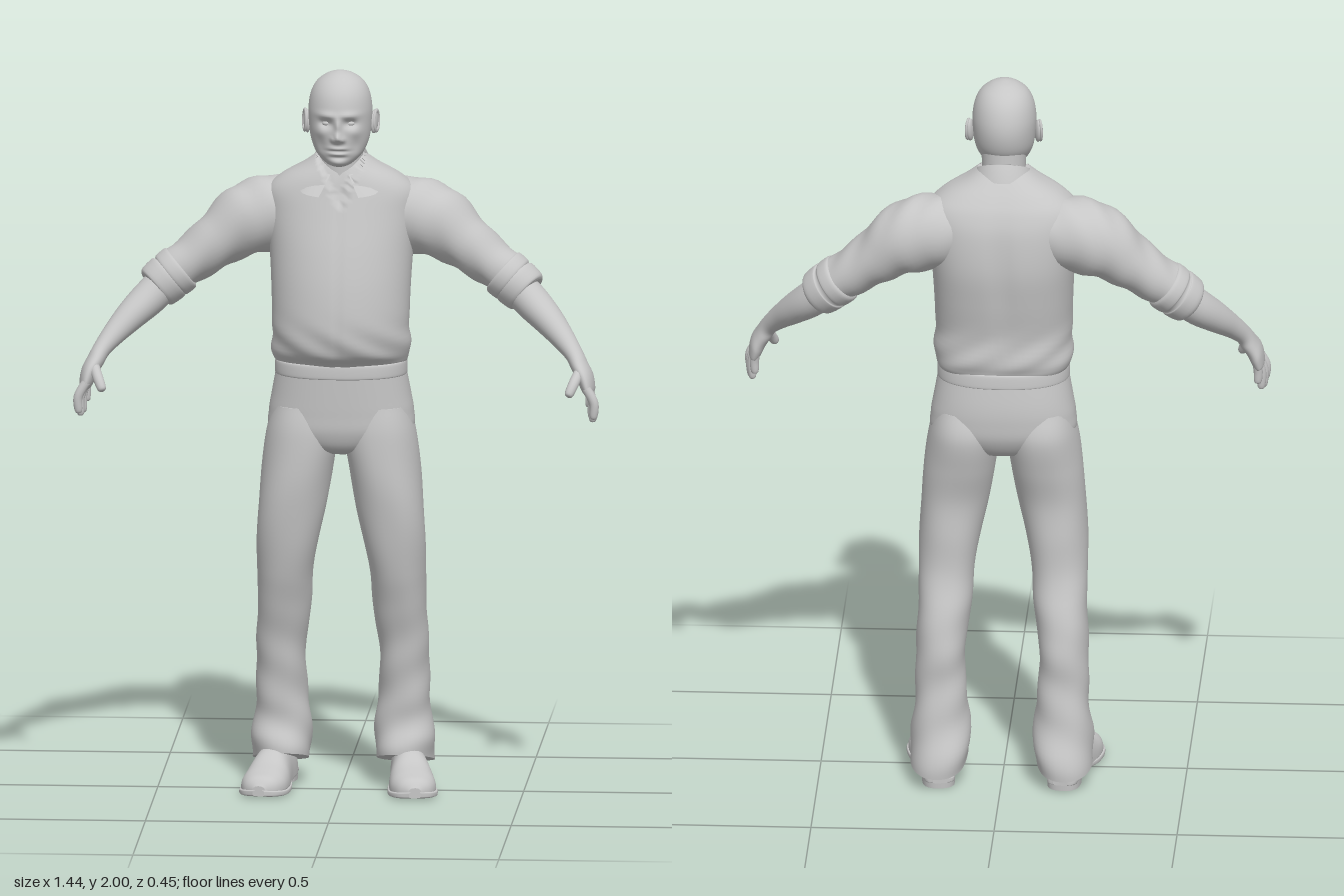
import * as THREE from 'three';

const V = (x, y, z) => new THREE.Vector3(x, y, z);
const X = V(1, 0, 0), Y = V(0, 1, 0), Z = V(0, 0, 1);
const grey = new THREE.MeshStandardMaterial({ color: 0xc6c6c6, side: THREE.DoubleSide });
grey.name = 'plain grey';

// Smooth interpolation between the key rows of a loft
function refine(rows, steps) {
  const out = [], at = i => rows[Math.min(Math.max(i, 0), rows.length - 1)];
  for (let i = 0; i < rows.length - 1; i++) {
    for (let s = 0; s < steps; s++) {
      const t = s / steps;
      out.push(rows[i].map((b, k) => {
        const a = at(i - 1)[k], c = at(i + 1)[k], d = at(i + 2)[k];
        return b + 0.5 * t * (c - a + t * (2 * a - 5 * b + 4 * c - d + t * (3 * (b - c) + d - a)));
      }));
    }
  }
  return [...out, at(rows.length)];
}

// Closed loft; each row is [x, y, z, radius along u, radius along v]
function loft(rows, { steps = 5, n = 32, u = X, v = Z, follow = false, pf = 2, pb = 2, shape } = {}) {
  const keys = refine(rows, steps), centers = keys.map(r => V(r[0], r[1], r[2]));
  const pos = [], idx = [];
  const pow = (c, p) => Math.sign(c) * Math.abs(c) ** (2 / p);
  const last = keys.length - 1;
  let flip = false;
  keys.forEach((r, i) => {
    const t = centers[Math.min(i + 1, last)].clone().sub(centers[Math.max(i - 1, 0)]).normalize();
    const a = follow ? t.clone().cross(Z).normalize() : u;
    const b = follow ? a.clone().cross(t).normalize() : v;
    flip = a.clone().cross(b).dot(t) < 0;
    for (let j = 0; j < n; j++) {
      const q = j / n * Math.PI * 2, s = Math.sin(q), p = s > 0 ? pf : pb;
      const w = centers[i].clone().addScaledVector(a, Math.max(r[3], 0.0005) * pow(Math.cos(q), p))
        .addScaledVector(b, Math.max(r[4], 0.0005) * pow(s, p));
      if (shape) shape(w, centers[i]);
      pos.push(w.x, w.y, w.z);
    }
  });
  const tri = (a, b, c) => flip ? idx.push(a, c, b) : idx.push(a, b, c);
  for (let i = 0; i < last; i++) for (let j = 0; j < n; j++) {
    const a = i * n + j, b = i * n + (j + 1) % n;
    tri(a, b, b + n); tri(a, b + n, a + n);
  }
  // End caps with their own rim
  for (const i of [0, last]) {
    const rim = pos.slice(i * n * 3, (i + 1) * n * 3), base = pos.length / 3, m = [0, 0, 0];
    rim.forEach((q, k) => { m[k % 3] += q / n; });
    pos.push(...rim, ...m);
    for (let j = 0; j < n; j++) {
      const a = base + j, b = base + (j + 1) % n;
      i ? tri(a, b, base + n) : tri(b, a, base + n);
    }
  }
  const g = new THREE.BufferGeometry();
  g.setAttribute('position', new THREE.Float32BufferAttribute(pos, 3));
  g.setIndex(idx);
  g.computeVertexNormals();
  return g;
}

// Upright loft; each row is [y, half width, front z, back z, centre x]
const upright = (rows, opts) => loft(rows.map(([y, w, f, b, x = 0]) => [x, y, (f + b) / 2, w, (f - b) / 2]), opts);

const bump = (w, x, y, sx, sy) => Math.exp(-(((w.x - x) / sx) ** 2) - ((w.y - y) / sy) ** 2);

// Face relief: brow, eye sockets, nose, cheeks, lips and chin
function sculptFace(w, c) {
  if (w.z < c.z + 0.02) return;
  const m = V(Math.abs(w.x), w.y, 0);
  w.z += 0.007 * bump(m, 0.03, 1.89, 0.028, 0.009) - 0.015 * bump(m, 0.033, 1.867, 0.017, 0.011)
    + 0.012 * bump(m, 0, 1.862, 0.009, 0.02) + 0.024 * bump(m, 0, 1.83, 0.011, 0.014)
    + 0.01 * bump(m, 0.013, 1.824, 0.007, 0.007) + 0.005 * bump(m, 0.05, 1.842, 0.018, 0.014)
    + 0.007 * bump(m, 0, 1.799, 0.022, 0.005) + 0.006 * bump(m, 0, 1.783, 0.02, 0.005)
    - 0.005 * bump(m, 0, 1.791, 0.026, 0.0025) - 0.005 * bump(m, 0, 1.773, 0.025, 0.006)
    + 0.006 * bump(m, 0, 1.758, 0.022, 0.01) - 0.005 * bump(m, 0.048, 1.805, 0.014, 0.02);
}

// Shirt front: buttoned seam, open neck notch and soft folds
function drapeShirt(w, c) {
  const low = Math.exp(-(((w.y - 1.25) / 0.05) ** 2));
  const k = 1 + 0.018 * low * Math.sin(w.x * 45 + w.y * 70);
  w.x *= k; w.z = c.z + (w.z - c.z) * k;
  if (w.z < c.z) { w.z += 0.008 * bump(w, 0, 1.5, 0.03, 0.15); return; }
  w.z -= 0.003 * Math.exp(-((w.x / 0.006) ** 2));
  if (w.y > 1.635 && Math.abs(w.x) < (w.y - 1.63) * 0.5) w.z -= 0.013;
}

// Trouser folds, gathered over the shoe, with a hem that drops at the back
function drapeLeg(w, c) {
  const low = Math.max(0, 1 - w.y / 0.6), a = Math.atan2(w.z - c.z, w.x - c.x);
  const k = 1 + low * 0.05 * Math.sin(w.y * 48 + a * 2) + 0.012 * Math.sin(w.y * 22 - a * 3);
  w.x = c.x + (w.x - c.x) * k; w.z = c.z + (w.z - c.z) * k;
  w.y += 0.36 * (w.z + 0.1) * Math.max(0, 1 - w.y / 0.25);
}

// Folded collar sheet, wrapped from the back of the neck to two front points
function collarGeometry() {
  const n = 48, pos = [], idx = [];
  for (let i = 0; i <= n; i++) {
    const q = (i / n * 2 - 1) * 2.8, s = Math.sin(q), c = Math.cos(q);
    const tip = THREE.MathUtils.smoothstep(Math.abs(q), 1.7, 2.6), y = 1.75 + 0.038 * c;
    const ring = (rx, rz, h) => pos.push(rx * s, h, -0.015 - rz * c);
    ring(0.066, 0.062, y - 0.03);
    ring(0.068, 0.064, y);
    ring(0.074, 0.071, y + 0.001);
    ring(0.092 + 0.07 * tip, 0.09 + 0.024 * tip, y - 0.047 - 0.008 * tip);
    if (i < n) for (let r = 0; r < 3; r++) {
      const a = i * 4 + r;
      idx.push(a, a + 4, a + 1, a + 1, a + 4, a + 5);
    }
  }
  const g = new THREE.BufferGeometry();
  g.setAttribute('position', new THREE.Float32BufferAttribute(pos, 3));
  g.setIndex(idx);
  g.computeVertexNormals();
  return g;
}

export function createModel() {
  const model = new THREE.Group();
  model.name = 'standing man';
  const add = (name, g) => {
    const m = new THREE.Mesh(g, grey);
    m.name = name;
    model.add(m);
  };
  const pair = (name, g) => {
    add('left ' + name, g);
    const r = g.clone().scale(-1, 1, 1), ix = r.index.array;
    for (let i = 0; i < ix.length; i += 3) [ix[i], ix[i + 1]] = [ix[i + 1], ix[i]];
    add('right ' + name, r);
  };
  const ball = (x, y, z, a, b, c) => new THREE.SphereGeometry(1, 20, 14).scale(a, b, c).translate(x, y, z);

  // Head and neck
  add('head', upright([[1.743, 0.015, 0.085, 0.04], [1.75, 0.034, 0.102, 0.01], [1.77, 0.058, 0.112, -0.035],
    [1.79, 0.071, 0.114, -0.058], [1.82, 0.081, 0.117, -0.08], [1.86, 0.086, 0.119, -0.091], [1.9, 0.087, 0.118, -0.09],
    [1.94, 0.08, 0.107, -0.077], [1.97, 0.064, 0.086, -0.055], [1.99, 0.038, 0.058, -0.024], [1.998, 0.015, 0.035, 0.002],
    [2, 0, 0.02, 0.019]], { steps: 8, n: 112, shape: sculptFace }));
  add('neck', upright([[1.68, 0.068, 0.05, -0.085], [1.74, 0.06, 0.05, -0.078], [1.82, 0.062, 0.05, -0.075]]));
  pair('eye', ball(0.032, 1.866, 0.092, 0.013, 0.008, 0.011));
  pair('ear', ball(0, 0, 0, 0.009, 0.033, 0.02).rotateX(-0.15).rotateY(-0.3).translate(0.092, 1.856, 0.004));
  pair('ear rim', new THREE.TorusGeometry(0.017, 0.004, 8, 24).scale(1, 1.6, 1).rotateY(Math.PI / 2 - 0.3)
    .rotateX(-0.15).translate(0.098, 1.858, 0.003));

  // Shirt
  add('shirt body', upright([[1.185, 0.176, 0.104, -0.142], [1.2, 0.184, 0.118, -0.148], [1.23, 0.189, 0.147, -0.155],
    [1.3, 0.187, 0.16, -0.152], [1.4, 0.19, 0.15, -0.17], [1.5, 0.196, 0.128, -0.184], [1.6, 0.205, 0.098, -0.178],
    [1.66, 0.203, 0.08, -0.16], [1.7, 0.165, 0.07, -0.136], [1.735, 0.105, 0.057, -0.108], [1.76, 0.07, 0.042, -0.085]],
    { n: 96, pb: 2.6, shape: drapeShirt }));
  add('collar', collarGeometry());
  pair('sleeve', loft([[0.11, 1.595, -0.065, 0.09, 0.09], [0.2, 1.585, -0.068, 0.104, 0.102], [0.27, 1.56, -0.068, 0.098, 0.1],
    [0.335, 1.513, -0.06, 0.077, 0.088], [0.4, 1.465, -0.051, 0.066, 0.078], [0.45, 1.43, -0.044, 0.061, 0.071]],
    { follow: true, shape: w => { w.y += 0.003 * Math.sin(w.x * 70 + w.z * 40); } }));
  pair('rolled cuff', loft([[0.437, 1.437, -0.046, 0.058, 0.066], [0.442, 1.433, -0.045, 0.068, 0.077], [0.465, 1.415, -0.04, 0.068, 0.077],
    [0.47, 1.411, -0.039, 0.063, 0.071], [0.476, 1.406, -0.037, 0.068, 0.075], [0.504, 1.383, -0.029, 0.064, 0.069],
    [0.51, 1.378, -0.027, 0.053, 0.058]], { follow: true, steps: 4 }));

  // Forearms, hands and fingers
  pair('forearm and hand', loft([[0.46, 1.418, -0.038, 0.048, 0.054], [0.52, 1.36, -0.008, 0.049, 0.056], [0.57, 1.315, 0.031, 0.042, 0.049],
    [0.615, 1.27, 0.074, 0.032, 0.036], [0.645, 1.235, 0.105, 0.025, 0.032], [0.661, 1.207, 0.121, 0.024, 0.043],
    [0.677, 1.178, 0.135, 0.023, 0.055], [0.687, 1.145, 0.145, 0.018, 0.055], [0.69, 1.13, 0.147, 0.009, 0.047]], { follow: true }));
  const finger = (a, b, c, r) => loft([[...a, r, r], [...b, r, r], [...c, r * 0.8, r * 0.8],
    [...c.map((q, i) => q + (c[i] - b[i]) * 0.18), 0, 0]], { follow: true, n: 14 });
  [[0.19, 1.077, 0.709], [0.162, 1.066, 0.705], [0.135, 1.07, 0.7], [0.108, 1.094, 0.692]].forEach(([z, tip, x], i) =>
    pair('finger ' + (i + 1), finger([0.684, 1.155, z - 0.004], [x - 0.004, (tip + 1.155) / 2, z], [x - 0.005, tip, z], 0.0125)));
  pair('thumb', finger([0.665, 1.2, 0.155], [0.65, 1.17, 0.197], [0.638, 1.143, 0.217], 0.0145));

  // Belt and trousers
  add('belt', upright([[1.155, 0.177, 0.107, -0.15], [1.16, 0.181, 0.111, -0.153], [1.19, 0.18, 0.11, -0.15], [1.196, 0.175, 0.104, -0.145]],
    { n: 64, pb: 2.3, pf: 2.3 }));
  add('trouser seat', upright([[0.935, 0.06, 0.03, -0.08], [0.955, 0.13, 0.075, -0.125], [1, 0.195, 0.096, -0.153],
    [1.05, 0.198, 0.1, -0.16], [1.1, 0.19, 0.102, -0.159], [1.17, 0.177, 0.104, -0.149]], { n: 64, pf: 2.3, pb: 2.3 }));
  pair('trouser leg', upright([[0.07, 0.078, 0.005, -0.222, 0.17], [0.12, 0.083, -0.003, -0.213, 0.168], [0.2, 0.075, -0.018, -0.188, 0.166],
    [0.3, 0.068, -0.01, -0.177, 0.168], [0.4, 0.068, 0.006, -0.175, 0.167], [0.5, 0.073, 0.031, -0.155, 0.158],
    [0.6, 0.076, 0.06, -0.128, 0.154], [0.7, 0.085, 0.083, -0.123, 0.145], [0.8, 0.093, 0.095, -0.122, 0.132],
    [0.9, 0.098, 0.1, -0.143, 0.118], [1, 0.099, 0.099, -0.158, 0.104], [1.07, 0.085, 0.085, -0.14, 0.1]],
    { n: 40, steps: 7, pf: 2.2, pb: 2.2, shape: drapeLeg }));

  // Shoes, turned slightly outward
  const shoePart = (name, g) => pair(name, g.rotateY(0.14).translate(0.191, 0, 0));
  const along = { u: X, v: Y, n: 40 };
  shoePart('shoe upper', loft([[0, 0.02, -0.19, 0.02, 0.05], [0, 0.02, -0.18, 0.037, 0.075], [0, 0.02, -0.13, 0.046, 0.095],
    [0, 0.02, -0.06, 0.05, 0.1], [0, 0.02, 0, 0.057, 0.088], [0, 0.02, 0.05, 0.063, 0.063], [0, 0.02, 0.1, 0.062, 0.048],
    [0, 0.02, 0.14, 0.046, 0.036], [0, 0.02, 0.16, 0.018, 0.015]], { ...along, pf: 2.3, shape: w => { w.y = Math.max(w.y, 0.016); } }));
  shoePart('shoe sole', loft([[0, 0.024, -0.192, 0.02, 0.008], [0, 0.024, -0.175, 0.041, 0.008], [0, 0.024, -0.09, 0.047, 0.008],
    [0, 0.019, -0.04, 0.051, 0.008], [0, 0.011, 0.03, 0.065, 0.009], [0, 0.01, 0.1, 0.067, 0.009],
    [0, 0.013, 0.145, 0.049, 0.009], [0, 0.016, 0.165, 0.016, 0.008]], { ...along, pf: 5, pb: 5 }));
  shoePart('shoe heel', upright([[0, 0.044, -0.087, -0.19], [0.028, 0.045, -0.085, -0.192]], { pf: 4, pb: 2.4 }));
  return model;
}
